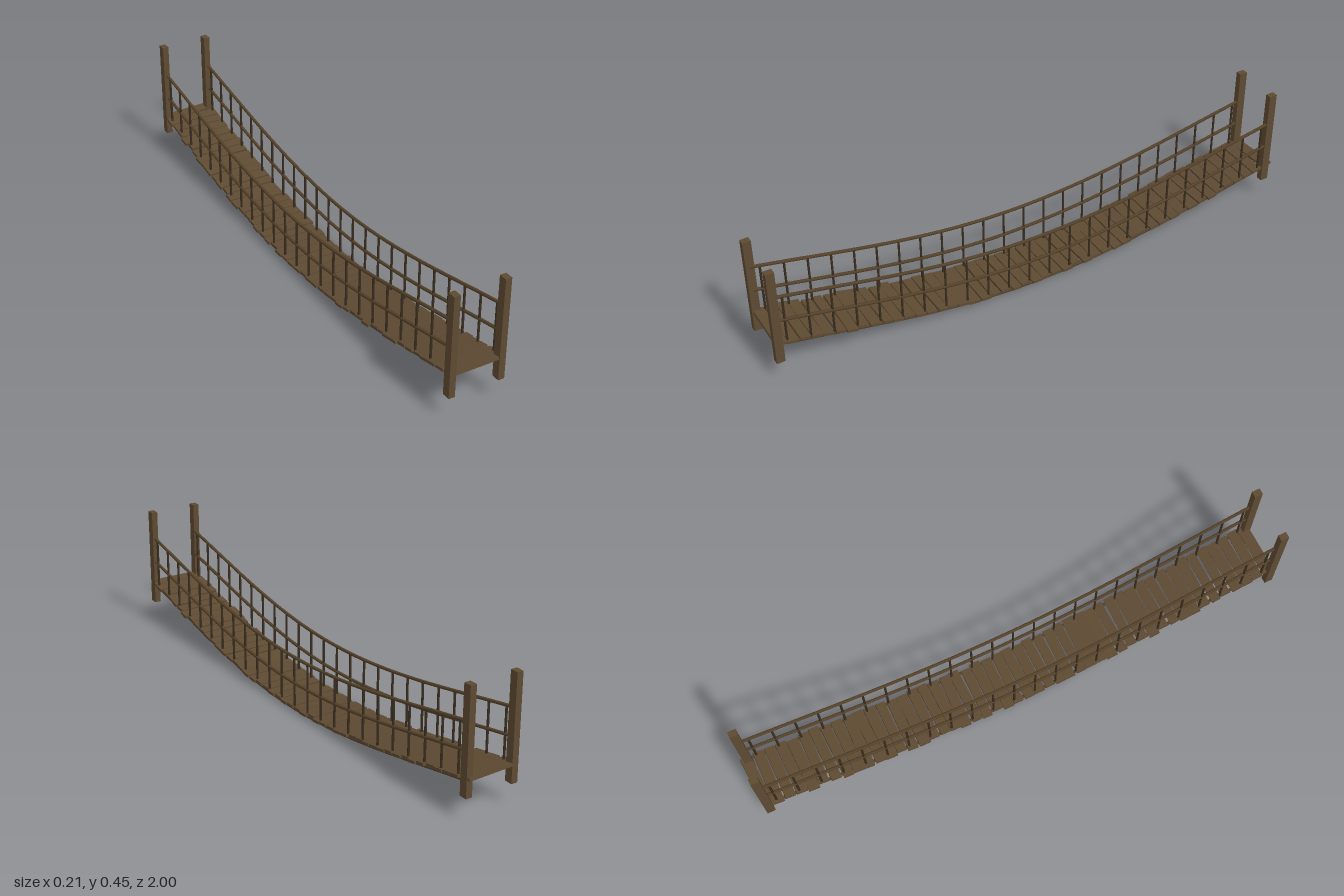
import * as THREE from 'three';

export function createModel() {
  const model = new THREE.Group();
  const mat = (name, color) => {
    const m = new THREE.MeshStandardMaterial({ color });
    m.name = name;
    return m;
  };
  const wood = mat('brown wood', 0x5e4a32);
  const rope = mat('rope brown', 0x544129);
  const cord = mat('dark cord', 0x3a2e20);

  let seed = 11;
  const rand = () => {
    seed = (seed * 16807) % 2147483647;
    return seed / 2147483647 * 2 - 1;
  };
  const add = (name, geometry, material, x = 0, y = 0, z = 0) => {
    const mesh = new THREE.Mesh(geometry, material);
    mesh.name = name;
    mesh.position.set(x, y, z);
    model.add(mesh);
    return mesh;
  };

  // Height of the hanging curve above its lowest point; the front end is a little higher
  const sag = z => (1 - Math.cos(2 * z)) / 1.36 * (z > 0 ? 0.148 : 0.128);
  const slope = z => Math.atan(2 * Math.sin(2 * z) / 1.36 * (z > 0 ? 0.148 : 0.128));

  // Four end posts
  for (const [x, y, z] of [
    [-0.098, 0.27, 0.985], [0.0855, 0.27, 0.985],
    [-0.0935, 0.264, -0.975], [0.0825, 0.264, -0.975],
  ]) add('endPost', new THREE.BoxGeometry(0.023, 0.37, 0.03), wood, x, y, z);

  // Deck, middle and hand ropes on both sides
  const sides = [-0.09, 0.087];
  const levels = [['deckRope', 0.007], ['middleRope', 0.104], ['handRope', 0.2]];
  for (const x of sides) {
    for (const [name, base] of levels) {
      const points = [];
      for (let i = 0; i <= 16; i++) {
        const z = -0.975 + i * 1.96 / 16;
        points.push(new THREE.Vector3(x, base + sag(z), z));
      }
      const path = new THREE.CatmullRomCurve3(points);
      add(name, new THREE.TubeGeometry(path, 48, 0.0058, 8), rope);
    }

    // Vertical hangers
    const hanger = new THREE.CylinderGeometry(0.0042, 0.0042, 0.193, 6);
    for (let i = 0; i < 24; i++) {
      const z = 0.952 - i * 0.0823;
      add('hanger', hanger, cord, x, 0.1035 + sag(z), z);
    }
  }

  // Uneven planks following the curve
  const count = 48;
  for (let i = 0; i < count; i++) {
    const z = -0.976 + i * 1.952 / (count - 1);
    const size = new THREE.BoxGeometry(0.2 + rand() * 0.005, 0.01, 0.038 + rand() * 0.004);
    const plank = add('plank', size, wood, -0.003 + rand() * 0.005, 0.014 + sag(z) + rand() * 0.001, z);
    plank.rotation.set(-slope(z), rand() * 0.03, rand() * 0.012);
    if (i === 0) plank.rotation.y = 0.06;
  }
  return model;
}
